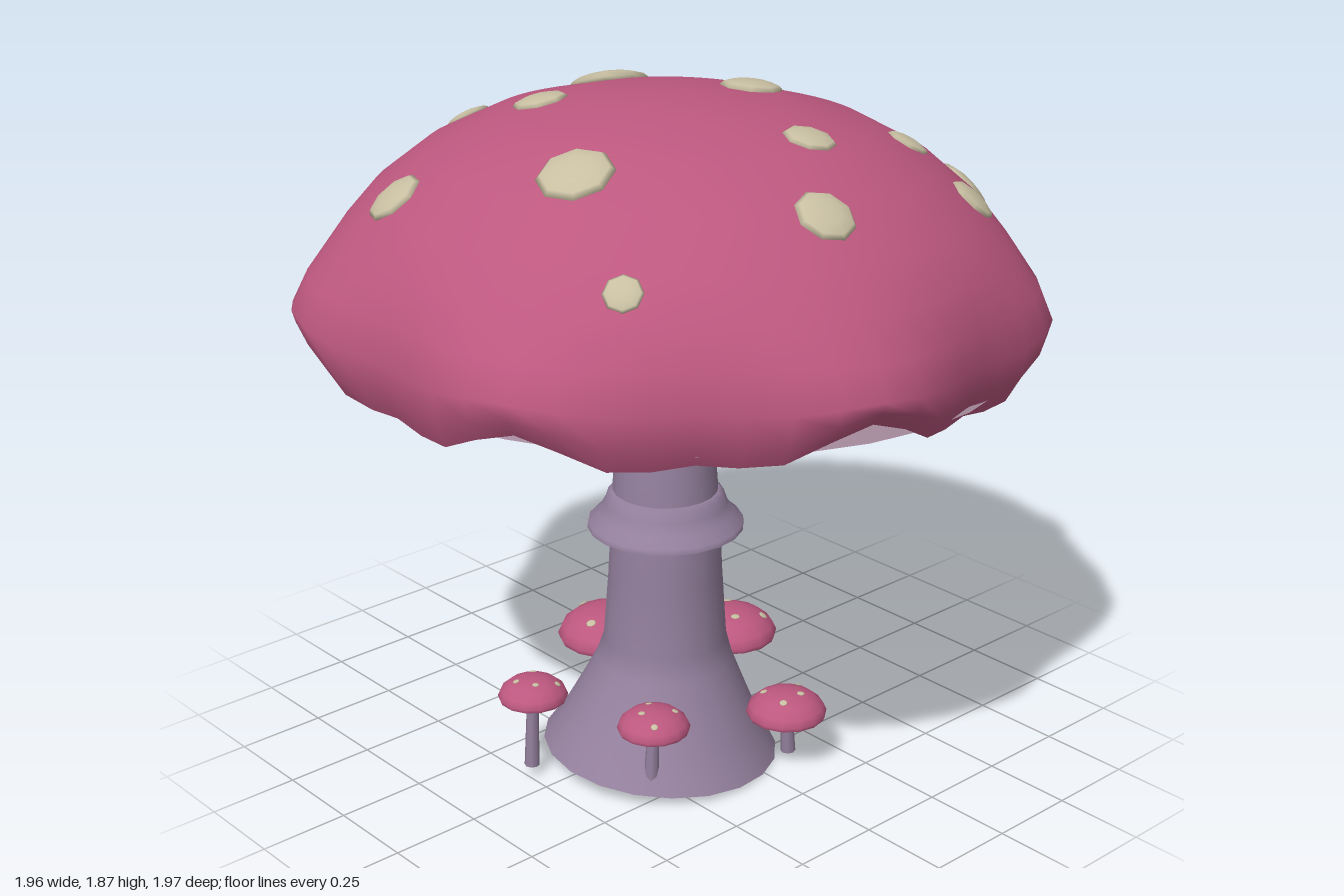
import * as THREE from 'three';
import { mergeVertices } from 'three/addons/utils/BufferGeometryUtils.js';

const mat = (color) => new THREE.MeshStandardMaterial({ color, side: THREE.DoubleSide });
const capMat = mat(0xbd587f), spotMat = mat(0xc8bfa2), stemMat = mat(0x94809d), gillMat = mat(0xa2889a);

function add(parent, name, geometry, material) {
  const mesh = new THREE.Mesh(geometry, material);
  mesh.name = name;
  parent.add(mesh);
  return mesh;
}

// Lathe whose vertices are moved by a rule, with seamless smooth normals
function turned(points, sides, rule) {
  let g = new THREE.LatheGeometry(points.map(([r, y]) => new THREE.Vector2(r, y)), sides);
  const p = g.attributes.position, v = new THREE.Vector3();
  for (let i = 0; rule && i < p.count; i++) {
    rule(v.fromBufferAttribute(p, i));
    p.setXYZ(i, v.x, v.y, v.z);
  }
  g.deleteAttribute('uv');
  g.deleteAttribute('normal');
  g = mergeVertices(g, 1e-5);
  g.computeVertexNormals();
  return g;
}

// Piecewise-linear lookup in rows of [key, ...values]
function lookup(rows, key) {
  let i = 0;
  while (i < rows.length - 2 && key > rows[i + 1][0]) i++;
  const a = rows[i], b = rows[i + 1];
  const t = THREE.MathUtils.clamp((key - a[0]) / (b[0] - a[0]), 0, 1);
  return a.map((n, k) => n + (b[k] - n) * t);
}

// Flattened octagonal wart lying on a dome profile
function addSpot(parent, dome, x, z, size) {
  const rows = dome.slice().reverse(), r = Math.hypot(x, z);
  const y = lookup(rows, r)[1];
  const slope = (lookup(rows, r + size * 0.5)[1] - lookup(rows, Math.max(0, r - size * 0.5))[1]) / size;
  const n = new THREE.Vector3(-slope * x / (r || 1), 1, -slope * z / (r || 1)).normalize();
  const spot = add(parent, 'spot', new THREE.SphereGeometry(1, 8, 6), spotMat);
  spot.scale.set(size, size * 0.25, size);
  spot.position.set(x, y, z);
  spot.quaternion.setFromUnitVectors(new THREE.Vector3(0, 1, 0), n);
}

function makeCap() {
  const cap = new THREE.Group();
  cap.name = 'cap';
  const dome = [[0.92, 1.19], [0.955, 1.25], [0.965, 1.315], [0.94, 1.41], [0.88, 1.51],
    [0.8, 1.605], [0.67, 1.71], [0.5, 1.795], [0.28, 1.85], [0, 1.87]];
  // Seven flared lobes: tips flare out and lift, the ragged hollows hang down
  add(cap, 'capDome', turned(dome, 56, (v) => {
    const a = Math.atan2(v.z, v.x), wave = Math.cos(7 * a);
    const flare = 1 - THREE.MathUtils.smoothstep(v.y, 1.3, 1.58);
    const edge = 1 - THREE.MathUtils.smoothstep(v.y, 1.18, 1.38);
    const s = 1 + flare * (0.038 * wave + 0.02 * Math.max(0, -Math.cos(a)));
    const hang = 0.04 * wave + 0.022 * Math.cos(14 * a) + 0.015 * Math.cos(3 * a + 1);
    v.set(v.x * s, v.y + edge * hang, v.z * s);
  }), capMat);
  // Hollow gill cone with a central opening
  add(cap, 'gills', turned([[0.915, 1.2], [0.55, 1.355], [0.2, 1.51]], 32), gillMat);
  const spots = [[0.15, -0.48, 0.115], [0.25, -0.76, 0.085], [-0.23, -0.63, 0.065], [0.58, -0.39, 0.06],
    [-0.73, -0.27, 0.08], [-0.28, -0.25, 0.075], [0.23, 0.01, 0.085], [-0.54, 0.21, 0.1],
    [0.04, 0.42, 0.07], [0.44, 0.39, 0.06], [0.74, 0.34, 0.09], [0.48, 0.59, 0.07],
    [-0.15, 0.67, 0.08], [-0.66, 0.53, 0.05]];
  for (const [x, z, s] of spots) addSpot(cap, dome, x + 0.015, z, s);
  cap.position.x = -0.075;
  cap.rotation.z = -0.04;
  return cap;
}

function makeStem() {
  const stem = new THREE.Group();
  stem.name = 'stem';
  // Leaning axis: height, x, z
  const axis = [[0, -0.12, 0.045], [0.35, -0.1, 0.045], [0.7, -0.105, 0.055],
    [1, -0.095, 0.04], [1.28, -0.06, 0.015]];
  const profile = [[0.33, 0.02], [0.27, 0.12], [0.222, 0.22], [0.19, 0.29], [0.172, 0.35],
    [0.158, 0.55], [0.148, 0.75], [0.135, 0.95], [0.125, 1.12], [0.118, 1.28]];
  const lean = (v) => {
    const [, x, z] = lookup(axis, v.y);
    const tilt = v.y < 0.3 ? (0.3 - v.y) / 0.3 : 0;
    v.set(v.x + x, v.y - tilt * (0.07 * v.x + 0.05 * v.z), v.z + z);
  };
  // Hollow stalk, open at the foot, with a separate crisp top
  add(stem, 'stalk', turned(profile, 20, lean), stemMat);
  add(stem, 'stalkTop', turned([[0.118, 1.28], [0, 1.28]], 20, lean), stemMat);
  // Open bell-shaped skirt
  const ring = add(stem, 'stemRing', turned([[0.215, 0.69], [0.213, 0.705], [0.185, 0.73],
    [0.168, 0.76], [0.16, 0.785], [0.145, 0.797], [0.13, 0.79]], 20), stemMat);
  ring.position.set(-0.105, 0, 0.055);
  return stem;
}

function makeSmallMushroom([x, z, bottom, top, r, foot]) {
  const g = new THREE.Group();
  g.name = 'smallMushroom';
  const dome = [[0.96, -0.6], [1, -0.5], [0.92, -0.32], [0.7, -0.13], [0.4, -0.03], [0, 0]]
    .map(([a, b]) => [a * r, b * r]);
  const cap = new THREE.Group();
  cap.name = 'smallCap';
  cap.position.y = top;
  add(cap, 'smallCapDome', turned(dome, 14, (v) => {
    if (v.y < -0.45 * r) v.y += 0.06 * r * Math.cos(7 * Math.atan2(v.z, v.x));
  }), capMat);
  add(cap, 'smallGills', turned([[0.93 * r, -0.56 * r], [0.18 * r, -0.32 * r]], 14), gillMat);
  for (let i = 0; i < 4; i++) {
    const a = i * 1.7 + x * 9, d = r * (0.35 + 0.12 * i);
    addSpot(cap, dome, d * Math.cos(a), d * Math.sin(a), r * 0.1);
  }
  // Slightly leaning stalk
  const height = top - 0.25 * r - bottom;
  const stalk = add(g, 'smallStalk', new THREE.CylinderGeometry(0.015, 0.021, height, 8), stemMat);
  stalk.position.set(foot / 2, bottom + height / 2, 0);
  stalk.rotation.z = Math.atan(foot / height);
  g.add(cap);
  g.position.set(x, 0, z);
  return g;
}

export function createModel() {
  const model = new THREE.Group();
  model.name = 'mushroom';
  model.add(makeStem(), makeCap());
  // x, z, stalk bottom, cap top, cap radius, sideways offset of the foot
  const small = [[-0.475, -0.08, 0.025, 0.29, 0.097, -0.01], [-0.315, 0.24, 0.04, 0.264, 0.1, -0.01],
    [0.09, 0.34, 0.025, 0.212, 0.113, 0.01], [0.22, -0.03, 0.02, 0.292, 0.137, -0.015],
    [-0.055, -0.25, 0.03, 0.305, 0.15, 0.01]];
  for (const s of small) model.add(makeSmallMushroom(s));
  return model;
}
